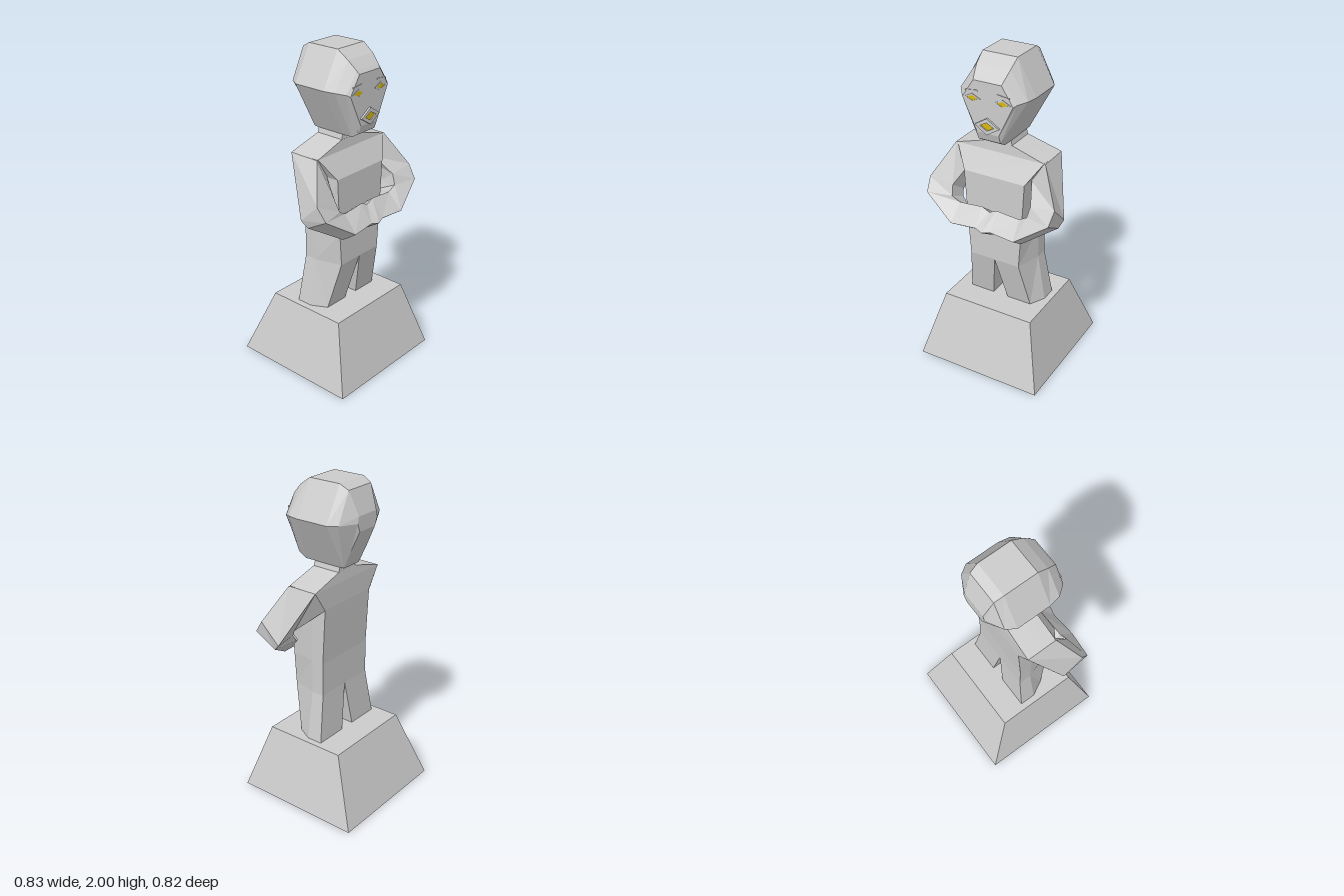
import * as THREE from 'three';

const grey = new THREE.MeshStandardMaterial({ color: 0xcccccc, flatShading: true });
const gold = new THREE.MeshStandardMaterial({ color: 0xd8b810, flatShading: true });

// Closed low-poly solid through rings of equal corner count; faces always point outward.
function loft(name, rings) {
  const tris = [];
  const n = rings[0].length;
  for (let i = 0; i < rings.length - 1; i++) {
    for (let j = 0; j < n; j++) {
      const k = (j + 1) % n;
      const [a, b, c, d] = [rings[i][j], rings[i][k], rings[i + 1][k], rings[i + 1][j]];
      tris.push([a, b, c], [a, c, d]);
    }
  }
  const last = rings[rings.length - 1];
  for (let j = 1; j < n - 1; j++) {
    tris.push([rings[0][0], rings[0][j + 1], rings[0][j]], [last[0], last[j], last[j + 1]]);
  }
  const v = (p) => new THREE.Vector3(...p);
  const volume = tris.reduce((s, [a, b, c]) => s + v(a).dot(v(b).cross(v(c))), 0);
  if (volume < 0) tris.forEach((t) => t.reverse());
  const geometry = new THREE.BufferGeometry();
  geometry.setAttribute('position', new THREE.Float32BufferAttribute(tris.flat(2), 3));
  geometry.computeVertexNormals();
  const mesh = new THREE.Mesh(geometry, grey);
  mesh.name = name;
  return mesh;
}

const mirror = (ring) => ring.map(([x, y, z]) => [-x, y, z]);

// Horizontal rectangle at height y
const rect = (y, x, back, front) => [[-x, y, back], [x, y, back], [x, y, front], [-x, y, front]];

// Horizontal body section: narrow front, wider flanks, flat back
const bodyRing = (y, xf, xs, front, back) => [
  [-xf, y, front], [xf, y, front], [xs, y, 0.02], [xs, y, back], [-xs, y, back], [-xs, y, 0.02],
];

// Upright head section at depth z: crown, temples, jaw
const headRing = (z, xt, yt, xm, ym, xb, yb) => [
  [-xt, yt, z], [xt, yt, z], [xm, ym, z], [xb, yb, z], [-xb, yb, z], [-xm, ym, z],
];

// Diamond shape, optionally with a diamond hole
function diamond(w, h, hole) {
  const points = (a, b) => [[-a, 0], [0, -b], [a, 0], [0, b]].map((p) => new THREE.Vector2(...p));
  const shape = new THREE.Shape(points(w, h));
  if (hole) shape.holes.push(new THREE.Path(points(...hole)));
  return shape;
}

function plate(name, shape, depth, material, x, y, z) {
  const geometry = new THREE.ExtrudeGeometry(shape, { depth, bevelEnabled: false });
  const mesh = new THREE.Mesh(geometry, material);
  mesh.position.set(x, y, z);
  mesh.name = name;
  return mesh;
}

export function createModel() {
  const model = new THREE.Group();
  model.name = 'statue';

  // Tapered plinth
  model.add(loft('plinth', [rect(0, 0.412, -0.412, 0.412), rect(0.42, 0.3, -0.245, 0.28)]));

  // Torso, shoulders and neck
  model.add(loft('torso', [
    bodyRing(0.72, 0.165, 0.21, 0.185, -0.06),
    bodyRing(0.93, 0.18, 0.21, 0.185, -0.06),
    bodyRing(1.28, 0.2, 0.21, 0.185, -0.08),
    bodyRing(1.41, 0.285, 0.295, 0.115, -0.08),
    bodyRing(1.47, 0.08, 0.08, 0.11, -0.075),
  ]));
  model.add(loft('neck', [rect(1.46, 0.08, -0.075, 0.11), rect(1.52, 0.065, -0.075, 0.105)]));

  // Legs
  const leg = [
    [[0.05, 0.42, 0.115], [0.21, 0.42, 0.115], [0.26, 0.42, 0.02], [0.26, 0.42, -0.08], [0.05, 0.42, -0.08]],
    [[0, 0.72, 0.185], [0.165, 0.72, 0.185], [0.21, 0.72, 0.02], [0.21, 0.72, -0.06], [0, 0.72, -0.06]],
  ];
  model.add(loft('leftLeg', leg), loft('rightLeg', leg.map(mirror)));

  // Arms: one chain from shoulder over elbow to the joined hands and back
  const shoulder = [[0.295, 1.41, 0.115], [0.295, 1.41, -0.08], [0.21, 1.28, -0.08], [0.21, 1.28, 0.115]];
  const arm = [
    shoulder.map(([x, y, z]) => [x - 0.06, y - 0.01, z * 0.9]),
    shoulder,
    [[0.415, 1.2, 0.225], [0.415, 1.08, 0.1], [0.25, 1.11, 0.12], [0.26, 1.18, 0.22]],
    [[0.405, 1.12, 0.28], [0.4, 1.04, 0.14], [0.24, 1.07, 0.14], [0.25, 1.12, 0.245]],
    [[0.21, 0.99, 0.33], [0.21, 0.925, 0.235], [0.2, 1.02, 0.15], [0.2, 1.09, 0.24]],
    [[0.05, 0.995, 0.315], [0.05, 0.935, 0.23], [0.05, 1.03, 0.15], [0.05, 1.1, 0.235]],
  ];
  const hands = [[0, 0.985, 0.33], [0, 0.925, 0.235], [0, 1.02, 0.15], [0, 1.08, 0.24]];
  model.add(loft('arms', [...arm, hands, ...arm.map(mirror).reverse()]));

  // Faceted head, back to front
  model.add(loft('head', [
    headRing(-0.215, 0.08, 1.83, 0.09, 1.79, 0.07, 1.74),
    headRing(-0.16, 0.1, 1.97, 0.19, 1.79, 0.075, 1.62),
    headRing(-0.105, 0.11, 2, 0.226, 1.79, 0.07, 1.5),
    headRing(0.105, 0.11, 2, 0.226, 1.79, 0.07, 1.5),
    headRing(0.175, 0.105, 1.95, 0.213, 1.79, 0.07, 1.5),
    headRing(0.225, 0.093, 1.9, 0.175, 1.78, 0.07, 1.53),
    headRing(0.242, 0.088, 1.88, 0.16, 1.77, 0.07, 1.58),
  ]));

  // Eyes and brows
  for (const [side, s] of [['left', 1], ['right', -1]]) {
    model.add(plate(side + 'EyeRim', diamond(0.052, 0.026, [0.036, 0.016]), 0.004, grey, s * 0.095, 1.775, 0.241));
    model.add(plate(side + 'Eye', diamond(0.036, 0.016), 0.002, gold, s * 0.095, 1.775, 0.241));
    const brow = new THREE.Mesh(new THREE.BoxGeometry(0.075, 0.008, 0.012), grey);
    brow.position.set(s * 0.1, 1.818, 0.24);
    brow.rotation.z = -s * 0.12;
    brow.name = side + 'Brow';
    model.add(brow);
  }

  // Mouth with raised lips
  model.add(plate('lips', diamond(0.078, 0.05, [0.045, 0.024]), 0.014, grey, 0, 1.626, 0.24));
  model.add(plate('mouth', diamond(0.045, 0.024), 0.006, gold, 0, 1.626, 0.24));

  return model;
}
